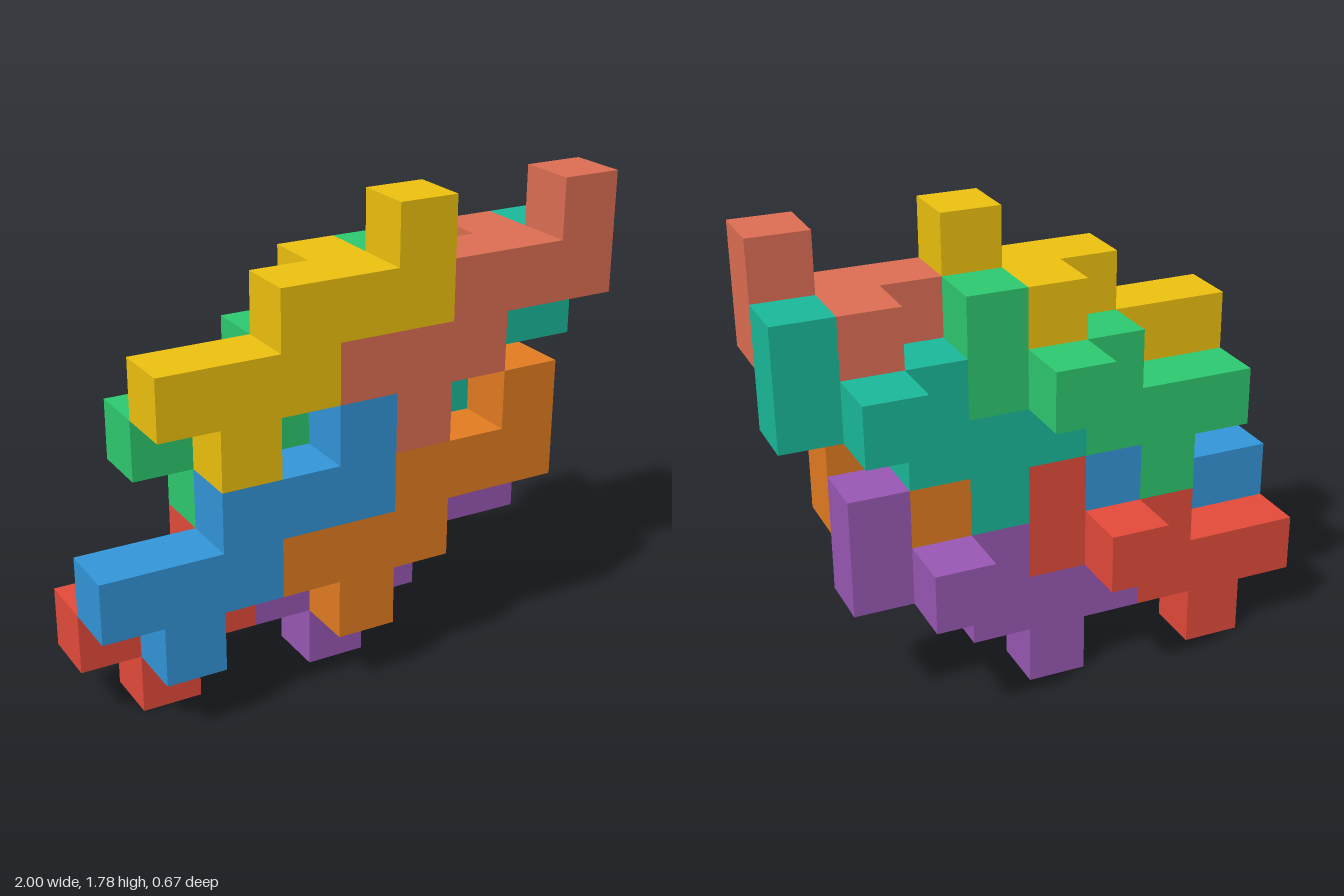
import * as THREE from 'three';

const U = 2 / 9; // edge of one cube cell

// Outline of the stepped puzzle piece, in cells, counter-clockwise
const OUTLINE = [
  [1, 0], [2, 0], [2, 1], [3, 1], [3, 2], [5, 2], [5, 4],
  [4, 4], [4, 3], [2, 3], [2, 2], [0, 2], [0, 1], [1, 1],
];

// name, colour, column, row and layer (1 = front, 0 = middle) of each piece
const PIECES = [
  ['yellowPiece', 0xf1c40f, 1, 4, 1],
  ['salmonPiece', 0xe17055, 4, 4, 1],
  ['bluePiece', 0x3498db, 0, 1, 1],
  ['orangePiece', 0xe67e22, 3, 1, 1],
  ['greenPiece', 0x2ecc71, 1, 3, 0],
  ['tealPiece', 0x1abc9c, 4, 3, 0],
  ['redPiece', 0xe74c3c, 0, 0, 0],
  ['purplePiece', 0x9b59b6, 3, 0, 0],
];

export function createModel() {
  const model = new THREE.Group();
  model.name = 'interlockingCubePuzzle';

  const shape = new THREE.Shape(OUTLINE.map(([x, y]) => new THREE.Vector2(x * U, y * U)));
  const plateGeometry = new THREE.ExtrudeGeometry(shape, { depth: U, bevelEnabled: false });
  const pegGeometry = new THREE.BoxGeometry(U, U, U);

  for (const [name, color, column, row, layer] of PIECES) {
    const material = new THREE.MeshStandardMaterial({ color, flatShading: true });
    const piece = new THREE.Group();
    piece.name = name;

    // Flat stepped plate, one cell thick
    const plate = new THREE.Mesh(plateGeometry, material);
    plate.name = 'plate';

    // Single cube on the back of the plate
    const peg = new THREE.Mesh(pegGeometry, material);
    peg.name = 'backPeg';
    peg.position.set(3.5 * U, 2.5 * U, -0.5 * U);

    piece.add(plate, peg);
    piece.position.set(-1 + column * U, row * U, (layer - 0.5) * U);
    model.add(piece);
  }
  return model;
}
